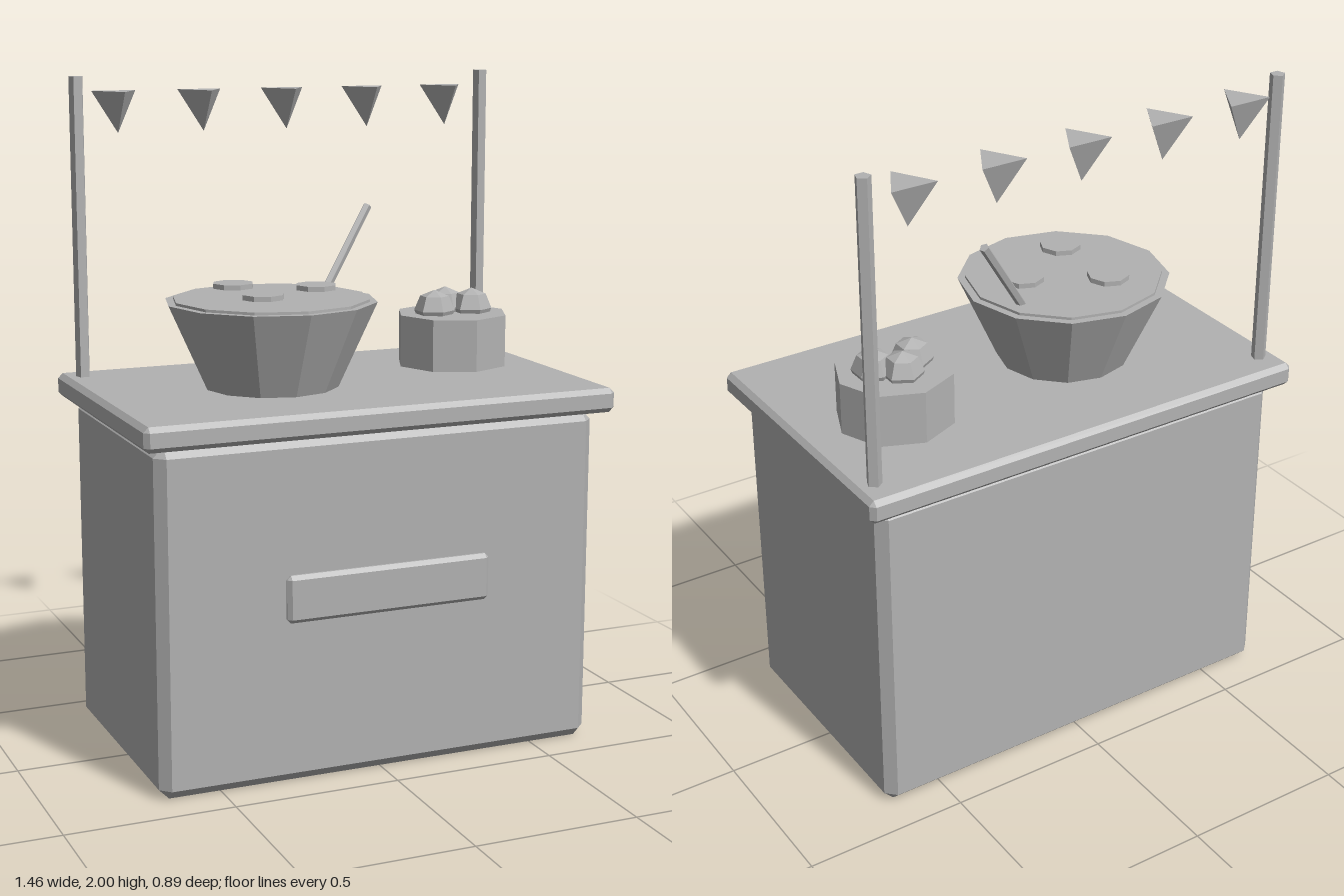
import * as THREE from 'three';
import { ConvexGeometry } from 'three/addons/geometries/ConvexGeometry.js';

export function createModel() {
  const stall = new THREE.Group();
  stall.name = 'foodStall';
  const grey = new THREE.MeshStandardMaterial({ color: 0xb2b2b2, flatShading: true });
  grey.name = 'plainGrey';

  const add = (name, geometry, x, y, z) => {
    const mesh = new THREE.Mesh(geometry, grey);
    mesh.name = name;
    mesh.position.set(x, y, z);
    stall.add(mesh);
    return mesh;
  };

  // Box with flat chamfers of width b on every edge
  const chamferBox = (w, h, d, b) => {
    const points = [];
    for (const sx of [-1, 1]) for (const sy of [-1, 1]) for (const sz of [-1, 1]) {
      const [x, y, z] = [w / 2, h / 2, d / 2];
      points.push(
        new THREE.Vector3(sx * x, sy * (y - b), sz * (z - b)),
        new THREE.Vector3(sx * (x - b), sy * y, sz * (z - b)),
        new THREE.Vector3(sx * (x - b), sy * (y - b), sz * z),
      );
    }
    return new ConvexGeometry(points);
  };

  // Cabinet, counter top and front sign
  add('cabinet', chamferBox(1.37, 1.024, 0.8, 0.03), 0, 0.512, 0);
  add('counterTop', chamferBox(1.46, 0.073, 0.89, 0.015), 0, 1.0595, 0);
  add('frontSign', chamferBox(0.635, 0.14, 0.03, 0.012), 0, 0.565, 0.433);

  // Two banner poles
  for (const side of [-1, 1]) {
    const pole = add('pole', new THREE.CylinderGeometry(0.0225, 0.0225, 0.91, 5), side * 0.67, 1.545, -0.355);
    pole.rotation.y = Math.PI;
  }

  // Row of hanging pennants
  for (let i = -2; i <= 2; i++) {
    const pennant = add('pennant', new THREE.ConeGeometry(0.08, 0.125, 3), i * 0.272, 1.892, -0.355);
    pennant.rotation.z = Math.PI;
  }

  // Soup bowl with floating slices
  const bowlX = -0.193;
  add('bowl', new THREE.CylinderGeometry(0.318, 0.2, 0.26, 12), bowlX, 1.222, 0);
  add('soup', new THREE.CylinderGeometry(0.295, 0.295, 0.02, 12), bowlX, 1.35, 0);
  for (let i = 0; i < 3; i++) {
    const a = (i * Math.PI * 2) / 3;
    add('slice', new THREE.CylinderGeometry(0.063, 0.063, 0.015, 8),
      bowlX + Math.cos(a) * 0.145, 1.384, Math.sin(a) * 0.145);
  }

  // Ladle handle leaning out of the bowl
  const low = new THREE.Vector3(-0.083, 1.2, -0.061);
  const high = new THREE.Vector3(0.188, 1.602, -0.158);
  const axis = high.clone().sub(low);
  const middle = low.clone().add(high).multiplyScalar(0.5);
  const ladle = add('ladle', new THREE.CylinderGeometry(0.014, 0.014, axis.length(), 5), middle.x, middle.y, middle.z);
  ladle.quaternion.setFromUnitVectors(new THREE.Vector3(0, 1, 0), axis.normalize());

  // Basket with three buns
  add('basket', new THREE.CylinderGeometry(0.175, 0.175, 0.16, 8), 0.445, 1.185, -0.083);
  for (const [x, z] of [[0.381, -0.076], [0.509, -0.076], [0.445, -0.133]]) {
    const bun = add('bun', new THREE.SphereGeometry(0.063, 6, 4), x, 1.277, z);
    bun.rotation.y = Math.PI / 2;
  }

  return stall;
}
